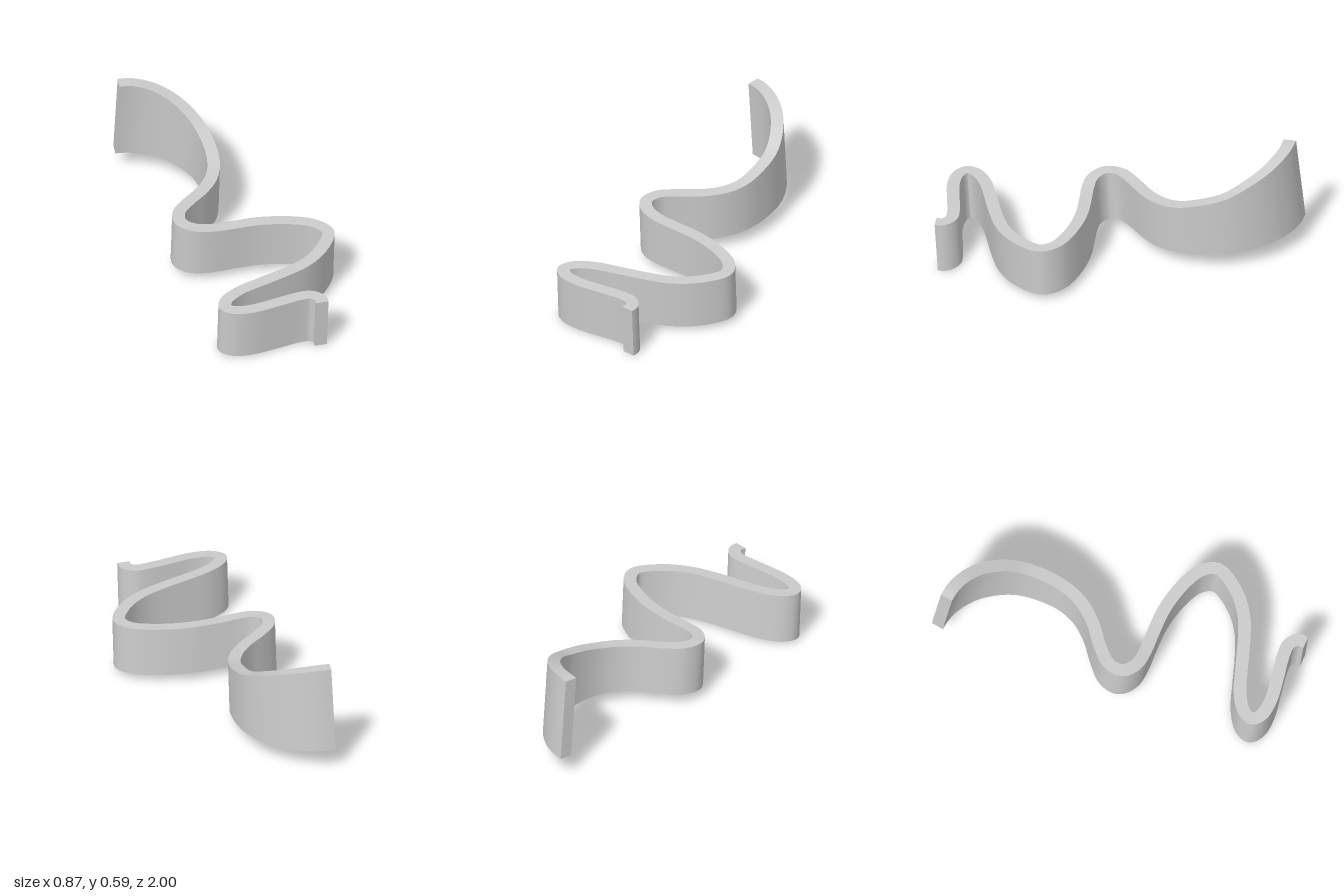
import * as THREE from 'three';
import { mergeGeometries } from 'three/addons/utils/BufferGeometryUtils.js';

const HALF_THICKNESS = 0.034;
const SEGMENTS = 180;
const TILT = 0.058;

// Centre line of the ribbon in plan: x, wall height, z
const PATH = [
  [0.083, 0.293, 0.981], [0.091, 0.293, 0.942], [0.06, 0.292, 0.896], [0, 0.292, 0.88],
  [-0.14, 0.291, 0.873], [-0.26, 0.29, 0.866], [-0.35, 0.289, 0.842], [-0.388, 0.288, 0.812],
  [-0.4, 0.288, 0.783], [-0.37, 0.287, 0.737], [-0.27, 0.286, 0.694], [-0.12, 0.284, 0.673],
  [0.02, 0.283, 0.657], [0.15, 0.281, 0.632], [0.26, 0.28, 0.583], [0.355, 0.279, 0.505],
  [0.393, 0.278, 0.452], [0.396, 0.277, 0.412], [0.365, 0.276, 0.348], [0.3, 0.276, 0.293],
  [0.2, 0.275, 0.238], [0.09, 0.275, 0.197], [-0.04, 0.275, 0.17], [-0.15, 0.28, 0.15],
  [-0.225, 0.287, 0.124], [-0.272, 0.291, 0.08], [-0.286, 0.293, 0.035], [-0.255, 0.291, -0.035],
  [-0.17, 0.286, -0.094], [-0.05, 0.283, -0.157], [0.04, 0.283, -0.229], [0.1, 0.29, -0.316],
  [0.135, 0.312, -0.425], [0.149, 0.345, -0.57], [0.126, 0.39, -0.69], [0.07, 0.432, -0.808],
  [0, 0.46, -0.888], [-0.06, 0.472, -0.932], [-0.105, 0.477, -0.954], [-0.152, 0.476, -0.97],
];

// Surface between two rows of points, with its own smooth normals
function strip(rowA, rowB) {
  const positions = [];
  const index = [];
  rowA.forEach((a, i) => {
    positions.push(...a.toArray(), ...rowB[i].toArray());
    if (i > 0) {
      const k = 2 * (i - 1);
      index.push(k, k + 1, k + 2, k + 1, k + 3, k + 2);
    }
  });
  const geometry = new THREE.BufferGeometry();
  geometry.setAttribute('position', new THREE.Float32BufferAttribute(positions, 3));
  geometry.setIndex(index);
  geometry.computeVertexNormals();
  return geometry;
}

// Four corners of the wall section at one place on the path
function section(curve, t) {
  const p = curve.getPoint(t);
  const tangent = curve.getTangent(t).setY(0).normalize();
  const lean = Math.max(0, p.y - 0.29) * 0.12; // the tall end leans forward
  const corner = (side, top) => new THREE.Vector3(
    p.x + side * tangent.z * HALF_THICKNESS,
    top ? p.y : 0,
    p.z - side * tangent.x * HALF_THICKNESS + (top ? lean : 0),
  );
  return [corner(1, false), corner(1, true), corner(-1, true), corner(-1, false)];
}

export function createModel() {
  const curve = new THREE.CatmullRomCurve3(PATH.map((p) => new THREE.Vector3(...p)), false, 'centripetal');
  const sections = [];
  for (let i = 0; i <= SEGMENTS; i++) sections.push(section(curve, i / SEGMENTS));

  // Two walls, top and bottom
  const parts = [0, 1, 2, 3].map((c) => strip(
    sections.map((s) => s[c]),
    sections.map((s) => s[(c + 1) % 4]),
  ));

  // End caps
  const first = sections[0];
  const last = sections[SEGMENTS];
  parts.push(strip([first[0], first[1]], [first[3], first[2]]));
  parts.push(strip([last[3], last[2]], [last[0], last[1]]));

  const ribbon = new THREE.Mesh(
    mergeGeometries(parts),
    new THREE.MeshStandardMaterial({ color: 0xcccccc }),
  );
  ribbon.name = 'windingRibbonWall';
  ribbon.rotation.x = TILT; // the base rises towards the back
  ribbon.position.y = 0.985 * Math.sin(TILT);

  const group = new THREE.Group();
  group.name = 'windingWall';
  group.add(ribbon);
  return group;
}
